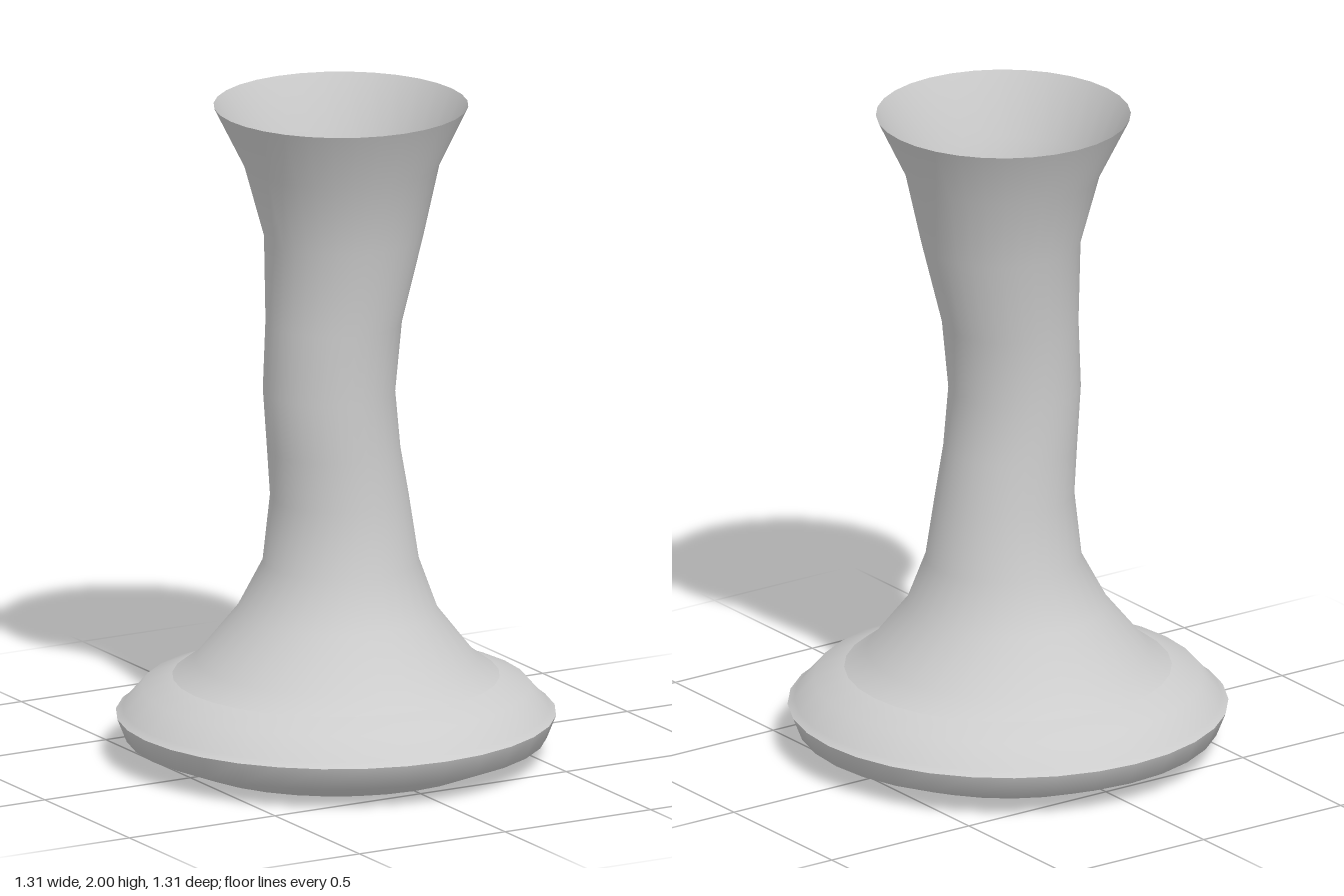
import * as THREE from 'three';

const SEGMENTS = 32;

// Open smooth shell lofted through circular rings [height, radius, sideways shift], bottom to top
function loft(rings) {
  const positions = [], indices = [];
  rings.forEach(([y, r, shift = 0]) => {
    for (let i = 0; i < SEGMENTS; i++) {
      const a = (i / SEGMENTS) * Math.PI * 2;
      positions.push(shift + r * Math.sin(a), y, r * Math.cos(a));
    }
  });
  for (let j = 0; j < rings.length - 1; j++) {
    for (let i = 0; i < SEGMENTS; i++) {
      const n = (i + 1) % SEGMENTS;
      const a = j * SEGMENTS + i, b = j * SEGMENTS + n;
      indices.push(a, b, b + SEGMENTS, a, b + SEGMENTS, a + SEGMENTS);
    }
  }
  const geometry = new THREE.BufferGeometry();
  geometry.setAttribute('position', new THREE.Float32BufferAttribute(positions, 3));
  geometry.setIndex(indices);
  geometry.computeVertexNormals();
  return geometry;
}

export function createModel() {
  const model = new THREE.Group();
  model.name = 'vase';
  const grey = new THREE.MeshStandardMaterial({ color: 0xcccccc, side: THREE.DoubleSide });
  grey.name = 'light grey';

  const parts = {
    // underside of the foot, open at the bottom
    footBowl: [[0, 0.465], [0.065, 0.627], [0.135, 0.655]],
    // rounded top of the foot, from the sharp lip inwards
    footShoulder: [[0.135, 0.655], [0.15, 0.635], [0.215, 0.578], [0.25, 0.487]],
    // gently swaying neck that flares to the open mouth
    neck: [
      [0.25, 0.487], [0.30, 0.42], [0.45, 0.30, 0.003], [0.60, 0.233, 0.017],
      [0.80, 0.207, 0.012], [0.95, 0.199, -0.008], [1.13, 0.197, -0.024],
      [1.34, 0.203, -0.008], [1.60, 0.237, 0.026], [1.82, 0.291, 0.019], [2, 0.379, 0.017],
    ],
  };
  for (const [name, rings] of Object.entries(parts)) {
    const mesh = new THREE.Mesh(loft(rings), grey);
    mesh.name = name;
    model.add(mesh);
  }
  return model;
}
